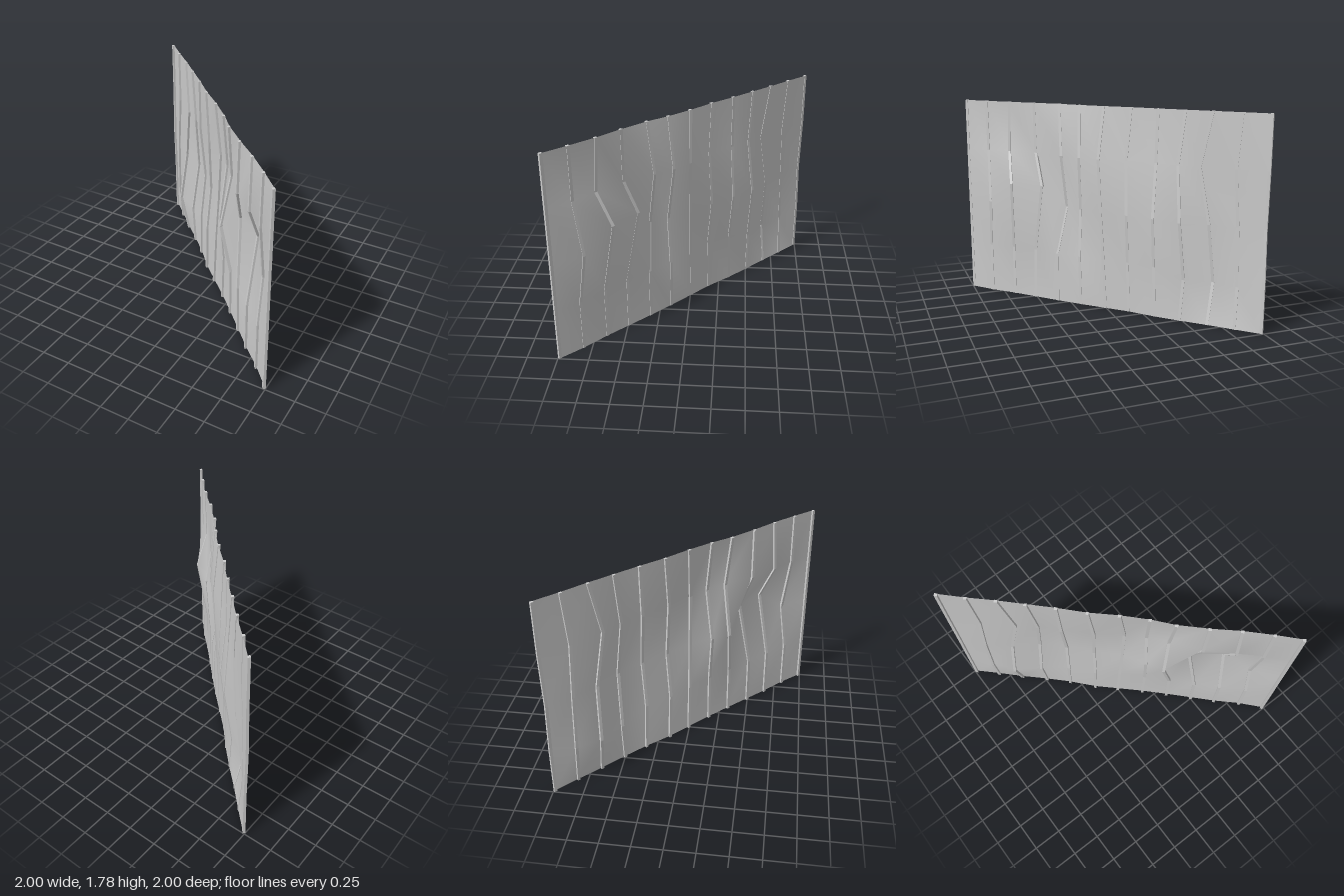
import * as THREE from 'three';

const HEIGHT = 1.78;
const MID_ROWS = [0, 0.445, 0.87, 1.335, HEIGHT];
const LOW_ROWS = [0, 0.36, 0.86, 1.33, HEIGHT];
const HIGH_ROWS = [0, 0.45, 1.06, 1.34, HEIGHT];

// Each seam: x and z at five heights, bottom to top
const SEAMS = [
  { x: [-0.98, -0.98, -0.98, -0.98, -0.98], z: [-0.99, -0.99, -0.98, -0.99, -0.99], y: MID_ROWS },
  { x: [-0.82, -0.84, -0.83, -0.8, -0.82], z: [-0.835, -0.82, -0.81, -0.8, -0.83], y: LOW_ROWS },
  { x: [-0.655, -0.715, -0.65, -0.585, -0.65], z: [-0.67, -0.64, -0.66, -0.6, -0.67], y: LOW_ROWS },
  { x: [-0.48, -0.505, -0.445, -0.445, -0.49], z: [-0.505, -0.51, -0.535, -0.485, -0.51], y: LOW_ROWS },
  { x: [-0.32, -0.31, -0.28, -0.315, -0.325], z: [-0.345, -0.335, -0.365, -0.34, -0.345], y: MID_ROWS },
  { x: [-0.155, -0.145, -0.12, -0.125, -0.16], z: [-0.16, -0.15, -0.18, -0.155, -0.17], y: MID_ROWS },
  { x: [0.005, 0.025, 0.05, 0.07, 0.02], z: [-0.01, -0.005, -0.005, -0.005, -0.005], y: MID_ROWS },
  { x: [0.18, 0.19, 0.17, 0.2, 0.18], z: [0.155, 0.155, 0.175, 0.12, 0.16], y: MID_ROWS },
  { x: [0.345, 0.345, 0.25, 0.315, 0.31], z: [0.32, 0.32, 0.32, 0.265, 0.315], y: MID_ROWS },
  { x: [0.51, 0.5, 0.46, 0.48, 0.49], z: [0.49, 0.49, 0.385, 0.49, 0.49], y: HIGH_ROWS },
  { x: [0.665, 0.665, 0.695, 0.675, 0.67], z: [0.65, 0.65, 0.55, 0.675, 0.65], y: HIGH_ROWS },
  { x: [0.84, 0.84, 0.845, 0.835, 0.84], z: [0.815, 0.815, 0.76, 0.82, 0.82], y: MID_ROWS },
  { x: [0.99, 0.99, 0.99, 0.99, 0.99], z: [0.98, 0.98, 0.98, 0.98, 0.98], y: MID_ROWS },
].map((s) => s.x.map((x, r) => new THREE.Vector3(x, s.y[r], s.z[r])));

// Directions along the wall and out of its front
const ALONG = new THREE.Vector3(1, 0, 1).normalize();
const OUT = new THREE.Vector3(-1, 0, 1).normalize();

function buildGeometry(points, index) {
  const geometry = new THREE.BufferGeometry().setFromPoints(points);
  geometry.setIndex(index);
  return geometry;
}

// Thin warped sheet spanning all seams
function sheetGeometry() {
  const rows = MID_ROWS.length;
  const index = [];
  for (let c = 0; c < SEAMS.length - 1; c++) {
    for (let r = 0; r < rows - 1; r++) {
      const a = c * rows + r;
      const b = a + rows;
      index.push(a, b, b + 1, a, b + 1, a + 1);
    }
  }
  const geometry = buildGeometry(SEAMS.flat(), index);
  geometry.computeVertexNormals();
  return geometry;
}

// Rectangular strip swept up one seam, standing proud of the front
function battenGeometry(path) {
  const half = 0.0125, front = 0.018, back = -0.004;
  const section = [[-half, front], [half, front], [half, back], [-half, back]];
  const points = path.flatMap((p) =>
    section.map(([u, n]) => p.clone().addScaledVector(ALONG, u).addScaledVector(OUT, n)));
  const index = [];
  for (let r = 0; r < path.length - 1; r++) {
    for (let k = 0; k < 4; k++) {
      const a = r * 4 + k;
      const b = r * 4 + ((k + 1) % 4);
      index.push(a, b, b + 4, a, b + 4, a + 4);
    }
  }
  const t = (path.length - 1) * 4;
  index.push(t, t + 1, t + 2, t, t + 2, t + 3, 0, 2, 1, 0, 3, 2);
  const geometry = buildGeometry(points, index).toNonIndexed();
  geometry.computeVertexNormals();
  return geometry;
}

export function createModel() {
  const model = new THREE.Group();
  model.name = 'battenedWall';

  const sheet = new THREE.Mesh(sheetGeometry(),
    new THREE.MeshStandardMaterial({ color: 0xcccccc, side: THREE.DoubleSide }));
  sheet.name = 'wallSheet';
  model.add(sheet);

  const battenMaterial = new THREE.MeshStandardMaterial({ color: 0xcccccc });
  const battens = new THREE.Group();
  battens.name = 'battens';
  SEAMS.forEach((path, i) => {
    const batten = new THREE.Mesh(battenGeometry(path), battenMaterial);
    batten.name = `batten${i + 1}`;
    battens.add(batten);
  });
  model.add(battens);
  return model;
}
